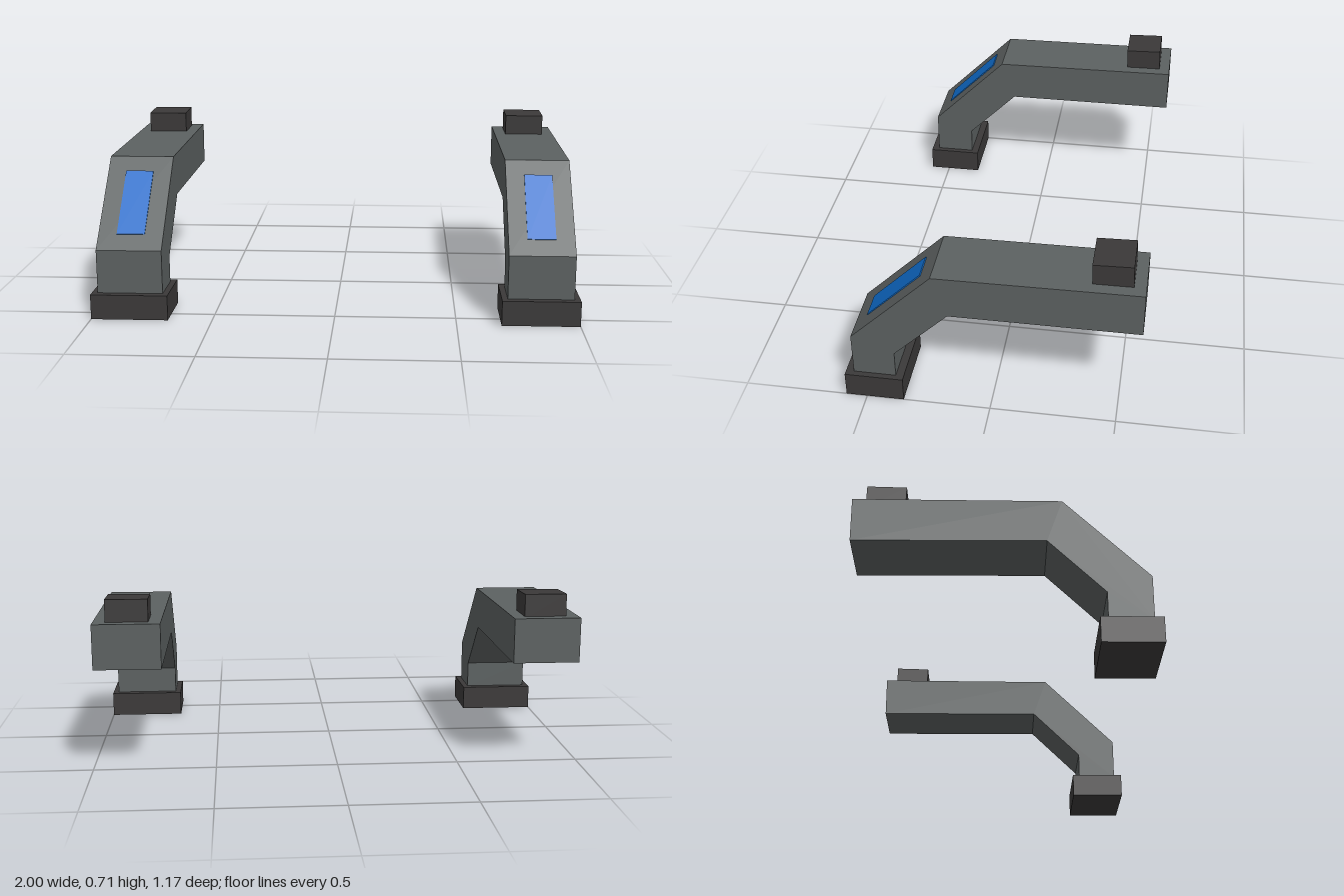
import * as THREE from 'three';

export function createModel() {
  const grey = new THREE.MeshStandardMaterial({ color: 0x5c6161 });
  grey.name = 'slate grey';
  const dark = new THREE.MeshStandardMaterial({ color: 0x3b3939 });
  dark.name = 'dark grey';
  const blue = new THREE.MeshStandardMaterial({ color: 0x0f6ac8 });
  blue.name = 'blue';

  const model = new THREE.Group();
  model.name = 'bentArmPair';

  // Side outline of the arm as (z, y)
  const outline = [
    [0.553, 0.1], [0.553, 0.285], [0.222, 0.613], [-0.584, 0.62],
    [-0.584, 0.437], [0.162, 0.437], [0.382, 0.218], [0.382, 0.1],
  ];
  const armWidth = 0.27;
  const armShape = new THREE.Shape(outline.map(([z, y]) => new THREE.Vector2(z, y)));
  const armGeometry = new THREE.ExtrudeGeometry(armShape, { depth: armWidth, bevelEnabled: false });
  armGeometry.translate(0, 0, -armWidth / 2);
  armGeometry.rotateY(-Math.PI / 2);

  const addPart = (group, name, geometry, material, y = 0, z = 0, tilt = 0) => {
    const mesh = new THREE.Mesh(geometry, material);
    mesh.name = name;
    mesh.position.set(0, y, z);
    mesh.rotation.x = tilt;
    group.add(mesh);
  };

  for (const side of [1, -1]) {
    const unit = new THREE.Group();
    unit.name = side > 0 ? 'leftArm' : 'rightArm';
    unit.position.x = side * 0.841;

    addPart(unit, 'arm', armGeometry, grey);
    // Foot under the short upright
    addPart(unit, 'foot', new THREE.BoxGeometry(0.318, 0.104, 0.235), dark, 0.052, 0.4675);
    // Slightly tilted block on the rear end
    addPart(unit, 'topBlock', new THREE.BoxGeometry(0.17, 0.1, 0.155), dark, 0.658, -0.4585, 0.03);
    // Thin panel lying on the sloped face
    addPart(unit, 'bluePanel', new THREE.BoxGeometry(0.116, 0.312, 0.006), blue, 0.45, 0.3885, -Math.PI / 4);
    model.add(unit);
  }
  return model;
}
